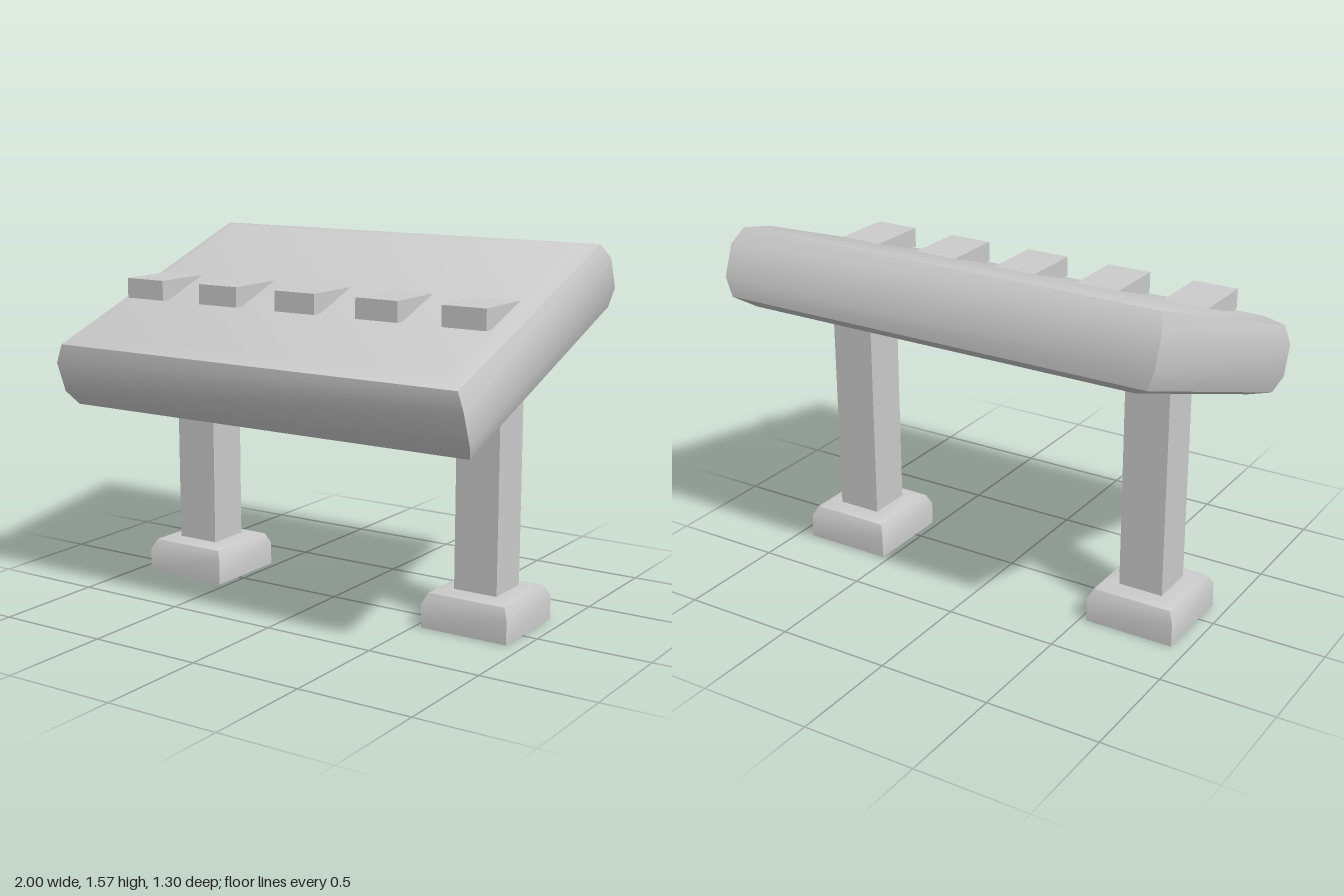
import * as THREE from 'three';
import { toCreasedNormals } from 'three/addons/utils/BufferGeometryUtils.js';

// Skin a stack of rectangles, each [half width, y, half depth], from bottom to top
function rectLoft(rings, capped) {
  const positions = [];
  const index = [];
  const corners = [[1, 1], [1, -1], [-1, -1], [-1, 1]];
  for (const [hx, y, hz] of rings) {
    for (const [sx, sz] of corners) positions.push(sx * hx, y, sz * hz);
  }
  for (let r = 0; r < rings.length - 1; r++) {
    for (let i = 0; i < 4; i++) {
      const a = r * 4 + i;
      const b = r * 4 + (i + 1) % 4;
      index.push(a, b, b + 4, a, b + 4, a + 4);
    }
  }
  if (capped) {
    const t = (rings.length - 1) * 4;
    index.push(t, t + 1, t + 2, t, t + 2, t + 3, 0, 2, 1, 0, 3, 2);
  }
  const geometry = new THREE.BufferGeometry();
  geometry.setAttribute('position', new THREE.Float32BufferAttribute(positions, 3));
  geometry.setIndex(index);
  return toCreasedNormals(geometry, 0.6);
}

export function createModel() {
  const model = new THREE.Group();
  model.name = 'slantedPanelStand';
  const grey = new THREE.MeshStandardMaterial({ color: 0xcccccc, side: THREE.DoubleSide });
  grey.name = 'light grey';

  const add = (name, geometry, x = 0, y = 0, z = 0) => {
    const mesh = new THREE.Mesh(geometry, grey);
    mesh.name = name;
    mesh.position.set(x, y, z);
    model.add(mesh);
    return mesh;
  };

  // Tilted panel: bevelled slab, the same on both faces
  const upper = [[1, 0.07, 0.668], [0.972, 0.147, 0.638], [0.895, 0.171, 0.565]];
  const lower = upper.map(([x, y, z]) => [x, -y, z]).reverse();
  const panel = add('panel', rectLoft([...lower, ...upper], true), 0, 1.213, 0);
  panel.rotation.x = THREE.MathUtils.degToRad(20);

  // Row of level blocks set into the sloping face
  const block = new THREE.BoxGeometry(0.198, 0.087, 0.31);
  for (let i = -2; i <= 2; i++) add('block', block, i * 0.398, 1.345, 0.142);

  // Two hollow posts on hollow feet, open underneath
  const post = rectLoft([[0.1, 0.155, 0.1], [0.1, 1.2, 0.1]], false);
  const foot = rectLoft([
    [0.2, 0, 0.2], [0.2, 0.105, 0.2], [0.178, 0.15, 0.178],
    [0.145, 0.16, 0.145], [0.1, 0.16, 0.1],
  ], false);
  for (const [side, x] of [['left', 0.73], ['right', -0.73]]) {
    add(side + 'Post', post, x, 0, -0.058);
    add(side + 'Foot', foot, x, 0, -0.058);
  }
  return model;
}
